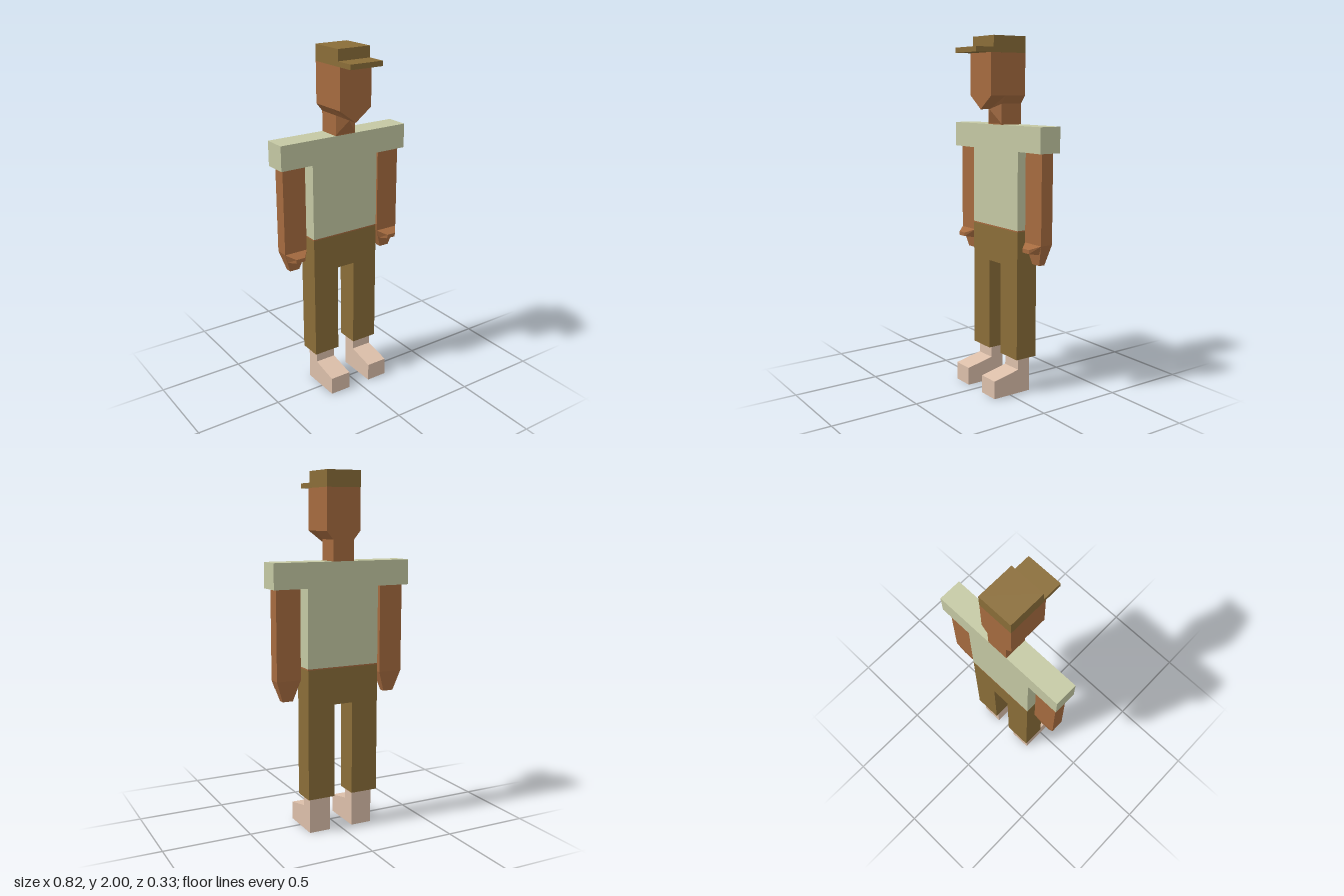
import * as THREE from 'three';

const material = (color) => new THREE.MeshStandardMaterial({ color, flatShading: true, side: THREE.DoubleSide });
const skin = material(0xa56b3f);
const cloth = material(0xc4c8a3);
const brown = material(0x8a6d38);
const shoe = material(0xdcbfaa);

function add(parent, name, geometry, mat) {
  const mesh = new THREE.Mesh(geometry, mat);
  mesh.name = name;
  parent.add(mesh);
  return mesh;
}

// Box given by its limits on each axis
function box([x0, x1], [y0, y1], [z0, z1]) {
  return new THREE.BoxGeometry(x1 - x0, y1 - y0, z1 - z0)
    .translate((x0 + x1) / 2, (y0 + y1) / 2, (z0 + z1) / 2);
}

// Move every vertex by a rule
function reshape(geometry, rule) {
  const p = geometry.attributes.position;
  const v = new THREE.Vector3();
  for (let i = 0; i < p.count; i++) {
    rule(v.fromBufferAttribute(p, i));
    p.setXYZ(i, v.x, v.y, v.z);
  }
  geometry.computeVertexNormals();
  return geometry;
}

// Outline in x and y, extruded from z0 to z1
function prism(points, z0, z1) {
  const shape = new THREE.Shape(points.map(([x, y]) => new THREE.Vector2(x, y)));
  return new THREE.ExtrudeGeometry(shape, { depth: z1 - z0, bevelEnabled: false }).translate(0, 0, z0);
}

const BACK = -0.163, FRONT = -0.03;

function buildHead() {
  const head = new THREE.Group();
  head.name = 'head';

  // Back of the skull narrowing into the neck
  add(head, 'skullAndNeck', prism([
    [-0.1, 1.91], [-0.1, 1.68], [-0.063, 1.635], [-0.063, 1.52],
    [0.063, 1.52], [0.063, 1.635], [0.1, 1.68], [0.1, 1.91],
  ], BACK, FRONT), skin);

  // Face with a pointed chin; the chin stops short of the neck
  const face = prism([[-0.1, 1.91], [-0.1, 1.68], [0, 1.605], [0.1, 1.68], [0.1, 1.91]], FRONT, 0.067);
  add(head, 'face', reshape(face, (v) => {
    if (v.y < 1.62 && v.z < 0) v.z = 0.008;
  }), skin);

  // Throat sloping from the chin to the base of the neck
  const chin = [0, 1.605, 0.008];
  const jaw = (s) => [s * 0.1, 1.68, FRONT];
  const nape = (s) => [s * 0.063, 1.635, FRONT];
  const base = (s) => [s * 0.063, 1.525, FRONT];
  const throat = new THREE.BufferGeometry();
  throat.setAttribute('position', new THREE.Float32BufferAttribute([
    jaw(1), chin, nape(1), nape(1), chin, base(1),
    base(1), chin, base(-1),
    base(-1), chin, nape(-1), nape(-1), chin, jaw(-1),
  ].flat(), 3));
  throat.computeVertexNormals();
  add(head, 'throat', throat, skin);

  // Cap
  add(head, 'capCrown', box([-0.101, 0.101], [1.91, 2], [BACK, 0.05]), brown);
  add(head, 'capBrim', box([-0.101, 0.101], [1.91, 1.938], [0.05, 0.163]), brown);
  return head;
}

function buildArm(side) {
  const arm = new THREE.Group();
  arm.name = side > 0 ? 'leftArm' : 'rightArm';
  const cx = side * 0.315;
  add(arm, 'forearm', box([cx - 0.07, cx + 0.07], [0.885, 1.38], [-0.135, -0.06]), skin);

  // Hand tapering downward
  const hand = box([-0.07, 0.07], [0.768, 0.885], [-0.135, -0.06]);
  add(arm, 'hand', reshape(hand, (v) => {
    if (v.y < 0.8) {
      v.x *= 0.43;
      v.z = v.z < -0.1 ? -0.116 : -0.08;
    }
  }), skin).position.x = cx;

  // Thumb tapering forward
  const thumb = box([-0.07, 0.07], [0.835, 0.885], [-0.07, -0.01]);
  add(arm, 'thumb', reshape(thumb, (v) => {
    if (v.z > -0.03) {
      v.x *= 0.4;
      v.y = v.y > 0.86 ? 0.864 : 0.842;
    } else {
      v.z = -0.06;
      if (v.y < 0.86) v.x *= 0.75;
    }
  }), skin).position.x = cx;
  return arm;
}

function buildFoot(side) {
  // Side outline: first value forward, second up
  const foot = prism([
    [-0.135, 0], [0.108, 0], [0.108, 0.103], [-0.055, 0.138], [-0.055, 0.205], [-0.135, 0.205],
  ], -0.062, 0.062).rotateY(-Math.PI / 2);
  const name = side > 0 ? 'leftFoot' : 'rightFoot';
  const group = new THREE.Group();
  group.name = name;
  add(group, 'shoe', foot, shoe).position.x = side * 0.132;
  return group;
}

export function createModel() {
  const model = new THREE.Group();
  model.name = 'figure';

  model.add(buildHead());

  // Shirt with short straight sleeves
  add(model, 'shirt', prism([
    [-0.408, 1.52], [-0.408, 1.38], [-0.214, 1.38], [-0.214, 0.945],
    [0.214, 0.945], [0.214, 1.38], [0.408, 1.38], [0.408, 1.52],
  ], BACK, FRONT), cloth);

  // Thin strip of skin between shirt and trousers
  add(model, 'waist', box([-0.214, 0.214], [0.938, 0.945], [BACK, FRONT]), skin);

  // Trousers
  add(model, 'trousers', prism([
    [-0.214, 0.938], [-0.214, 0.205], [-0.055, 0.205], [-0.055, 0.735],
    [0.055, 0.735], [0.055, 0.205], [0.214, 0.205], [0.214, 0.938],
  ], BACK, FRONT), brown);

  for (const side of [1, -1]) {
    model.add(buildArm(side));
    model.add(buildFoot(side));
  }
  return model;
}
